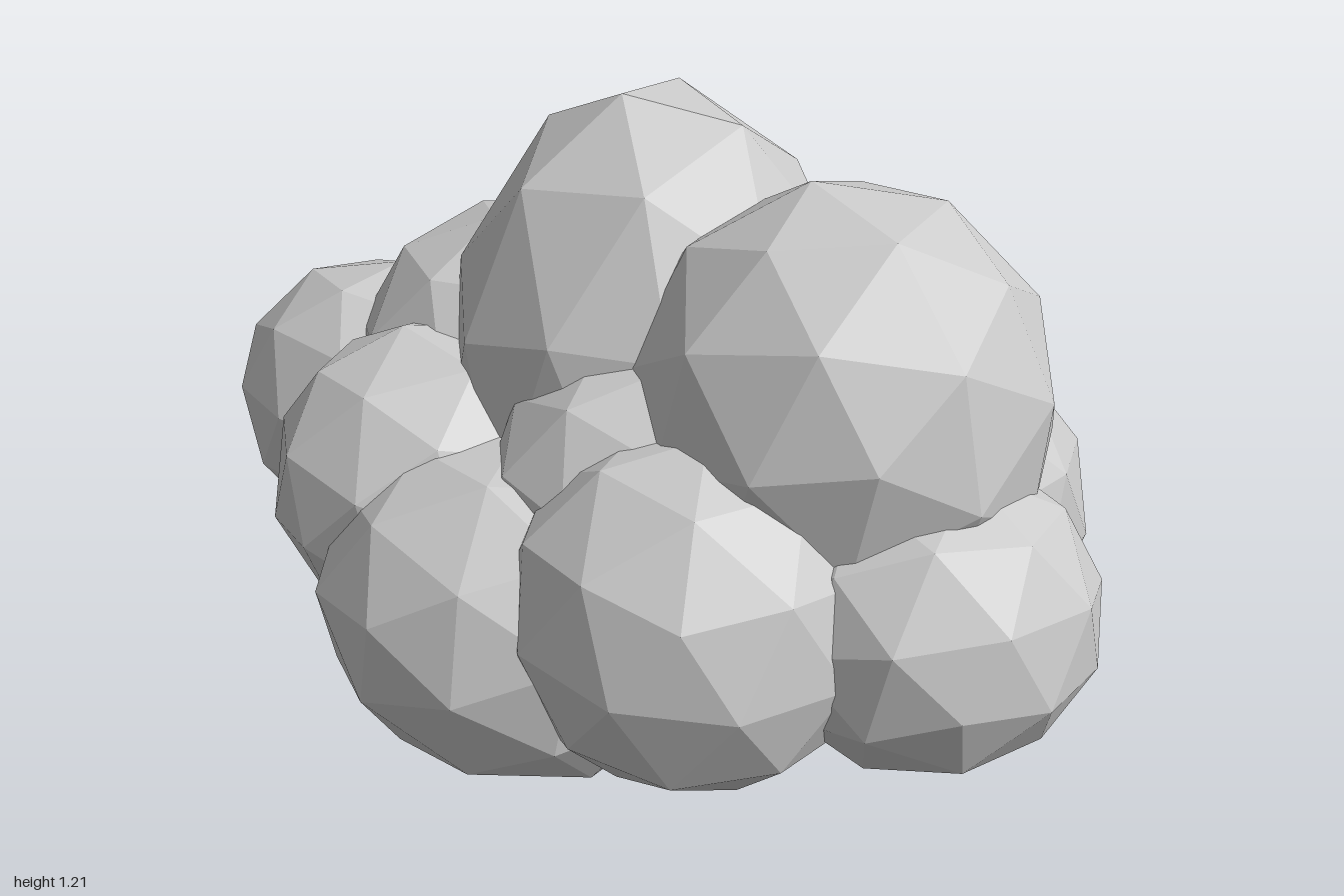
import * as THREE from 'three';

// Each puff: name, centre x y z, radii x y z
const PUFFS = [
  ['corePuff', -0.01, 0.61, -0.025, 0.405, 0.615, 0.415],
  ['upperLeftPuff', 0.46, 0.73, -0.03, 0.395, 0.405, 0.39],
  ['leftEndPuff', 0.7, 0.41, 0, 0.31, 0.29, 0.325],
  ['frontPuff', 0.05, 0.322, 0.41, 0.41, 0.32, 0.345],
  ['frontRightPuff', -0.26, 0.44, 0.31, 0.335, 0.315, 0.345],
  ['frontLeftPuff', 0.41, 0.42, 0.29, 0.345, 0.34, 0.35],
  ['rightEndPuff', -0.65, 0.42, 0.15, 0.35, 0.305, 0.295],
  ['upperRightPuff', -0.33, 0.57, 0.03, 0.35, 0.34, 0.35],
  ['backRightPuff', -0.54, 0.3, -0.22, 0.305, 0.295, 0.305],
  ['backPuff', -0.22, 0.42, -0.31, 0.345, 0.32, 0.37],
  ['backMiddlePuff', 0.18, 0.44, -0.28, 0.35, 0.34, 0.355],
  ['backLeftPuff', 0.43, 0.43, -0.27, 0.355, 0.345, 0.355],
  ['smallBackPuff', 0.33, 0.29, -0.53, 0.21, 0.18, 0.22],
  ['basePuff', 0, 0.365, -0.005, 0.7, 0.32, 0.61],
  ['innerFrontPuff', 0.2, 0.5, 0.2, 0.31, 0.33, 0.31],
];

export function createModel() {
  const cloud = new THREE.Group();
  cloud.name = 'cloud';
  const material = new THREE.MeshStandardMaterial({ color: 0xcccccc, flatShading: true });

  PUFFS.forEach(([name, x, y, z, rx, ry, rz], i) => {
    // Faceted ball, turned a little differently per puff
    const ball = new THREE.IcosahedronGeometry(1, 1);
    ball.rotateZ(Math.atan(2 / (1 + Math.sqrt(5))));
    ball.rotateY(i * 1.3);
    ball.rotateX(i * 0.37 + 0.2);
    ball.scale(rx, ry, rz);
    const puff = new THREE.Mesh(ball, material);
    puff.name = name;
    puff.position.set(x, y, z);
    cloud.add(puff);
  });
  return cloud;
}
